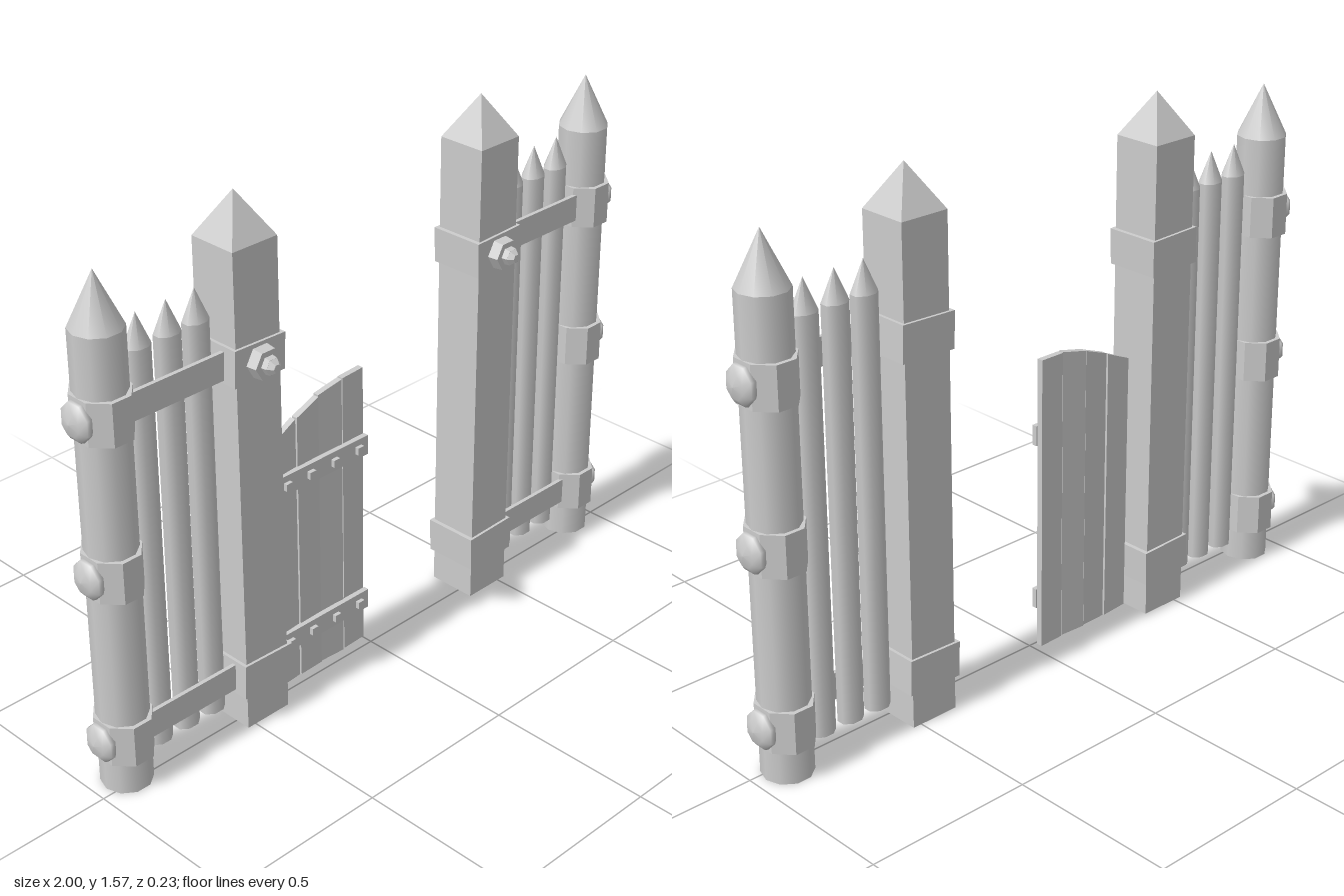
import * as THREE from 'three';

const mat = new THREE.MeshStandardMaterial({ color: 0xcccccc });
const flat = new THREE.MeshStandardMaterial({ color: 0xcccccc, flatShading: true });
const AXIS_Z = -0.027; // depth of the fence line

function add(parent, name, geometry, x, y, z, material = flat) {
  const mesh = new THREE.Mesh(geometry, material);
  mesh.name = name;
  mesh.position.set(x, y, z);
  parent.add(mesh);
  return mesh;
}

const box = (w, h, d) => new THREE.BoxGeometry(w, h, d);

// Round stake with a pointed top
function stake(parent, name, x, y0, shoulder, tip, rx, rz, sides) {
  const g = new THREE.Group();
  g.name = name;
  const turn = Math.PI / sides;
  const shaft = new THREE.CylinderGeometry(1, 1, shoulder - y0, sides).rotateY(turn).scale(rx, 1, rz);
  const point = new THREE.CylinderGeometry(0, 1, tip - shoulder, sides, 1, true).rotateY(turn).scale(rx, 1, rz);
  add(g, name + 'Shaft', shaft, 0, (y0 + shoulder) / 2, 0, mat);
  add(g, name + 'Point', point, 0, (shoulder + tip) / 2, 0, mat);
  g.position.set(x, 0, AXIS_Z);
  parent.add(g);
}

// Square post with a pyramid top, two bands and a bolt
function squarePost(parent, s) {
  const g = new THREE.Group();
  g.name = 'squarePost';
  add(g, 'postShaft', box(0.15, 1.44, 0.15), 0, 0.72, 0);
  const cap = new THREE.ConeGeometry(0.075 * Math.SQRT2, 0.125, 4, 1, true).rotateY(Math.PI / 4);
  add(g, 'postPoint', cap, 0, 1.5025, 0);
  add(g, 'lowerBand', box(0.172, 0.105, 0.166), 0, 0.157, 0).rotation.z = s * 0.03;
  add(g, 'upperBand', box(0.172, 0.105, 0.166), 0, 1.12, 0).rotation.z = s * 0.03;
  const hex = (r0, r1, h) => new THREE.CylinderGeometry(r1, r0, h, 6).rotateX(Math.PI / 2).rotateZ(Math.PI / 6);
  add(g, 'boltNut', hex(0.048, 0.044, 0.035), 0, 1.12, 0.097);
  add(g, 'boltShank', hex(0.027, 0.025, 0.02), 0, 1.12, 0.122);
  add(g, 'boltTip', hex(0.025, 0.012, 0.015), 0, 1.12, 0.139);
  g.position.set(s * 0.452, 0, AXIS_Z);
  parent.add(g);
}

// One fence wing: outer post with bands and knobs, pickets, rails, square post
function fenceWing(s) {
  const g = new THREE.Group();
  g.name = s > 0 ? 'leftWing' : 'rightWing';
  stake(g, 'roundPost', s * 0.897, 0, 1.35, 1.5, 0.071, 0.073, 10);
  for (const y of [0.157, 0.667, 1.12]) {
    const band = new THREE.CylinderGeometry(0.09, 0.09, 0.122, 8).rotateY(Math.PI / 8).scale(0.87, 1, 0.98);
    add(g, 'postBand', band, s * 0.897, y, AXIS_Z);
    // domed knob pointing outwards
    const profile = [[0.035, -0.03], [0.046, 0], [0.057, 0.012], [0.054, 0.022], [0.034, 0.036], [0, 0.041]]
      .map(([r, h]) => new THREE.Vector2(r, h));
    const knob = new THREE.LatheGeometry(profile, 8).rotateY(Math.PI / 8).rotateZ(-s * Math.PI / 2);
    add(g, 'knob', knob, s * 0.959, y, AXIS_Z, mat);
  }
  for (const x of [0.59, 0.682, 0.778]) stake(g, 'picket', s * x, 0.065, 1.255, 1.345, 0.039, 0.031, 8);
  for (const y of [0.16, 1.12]) add(g, 'rail', box(0.35, 0.08, 0.012), s * 0.68, y, 0.009);
  squarePost(g, s);
  return g;
}

// Half gate: four planks with an arched top, two straps and square nails
function gate() {
  const g = new THREE.Group();
  g.name = 'gate';
  const edges = [-0.36, -0.266, -0.18, -0.092, -0.007];
  const tops = [[0.805, 0.845], [0.848, 0.879], [0.882, 0.9], [0.9, 0.902]];
  tops.forEach(([a, b], i) => {
    const half = (edges[i + 1] - edges[i]) / 2 - 0.002;
    const outline = new THREE.Shape([
      new THREE.Vector2(-half, 0.012), new THREE.Vector2(half, 0.012),
      new THREE.Vector2(half, b), new THREE.Vector2(-half, a),
    ]);
    const plank = new THREE.ExtrudeGeometry(outline, { depth: 0.018, bevelEnabled: false });
    const mesh = add(g, 'plank', plank, (edges[i] + edges[i + 1]) / 2, 0, -0.033 - 0.002 * i);
    mesh.rotation.y = [0.08, 0.03, -0.06, 0.04][i];
  });
  for (const y of [0.157, 0.668]) {
    add(g, 'strap', box(0.35, 0.06, 0.016), -0.184, y, -0.01);
    for (const x of [-0.317, -0.23, -0.14, -0.047]) add(g, 'nail', box(0.022, 0.022, 0.014), x, y, 0.003);
  }
  return g;
}

export function createModel() {
  const model = new THREE.Group();
  model.name = 'palisadeGate';
  model.add(fenceWing(1), fenceWing(-1), gate());
  return model;
}
